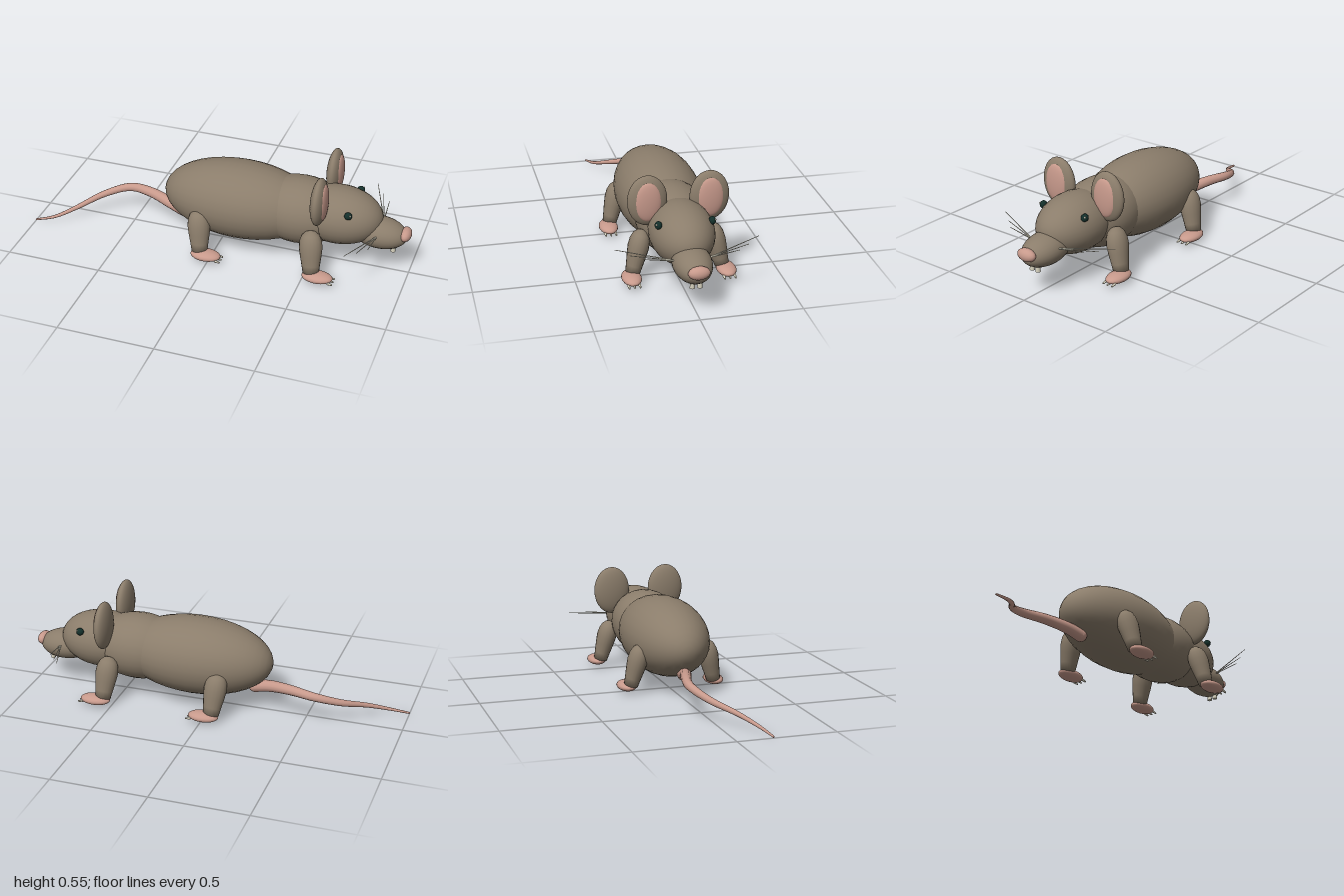
import * as THREE from 'three';

const mat = (name, color, extra = {}) => {
  const m = new THREE.MeshStandardMaterial({ color, ...extra });
  m.name = name;
  return m;
};

export function createModel() {
  const fur = mat('fur', 0x8b7d6b);
  const pink = mat('pinkSkin', 0xc89a8c);
  const dark = mat('eyeDark', 0x14302b);
  const ivory = mat('ivory', 0xd8d3bf);
  const rat = new THREE.Group();
  rat.name = 'rat';

  const add = (name, geometry, material, parent = rat) => {
    const mesh = new THREE.Mesh(geometry, material);
    mesh.name = name;
    parent.add(mesh);
    return mesh;
  };

  // Ellipsoid with its poles along x
  const ellipsoid = (name, material, c, r, parent = rat, seg = 28) => {
    const g = new THREE.SphereGeometry(1, seg, Math.round(seg * 0.7));
    g.rotateZ(-Math.PI / 2);
    g.scale(...r);
    const mesh = add(name, g, material, parent);
    mesh.position.set(...c);
    return mesh;
  };

  // Rod between two points
  const rod = (name, material, a, b, r0, r1, parent = rat) => {
    const from = new THREE.Vector3(...a), to = new THREE.Vector3(...b);
    const dir = to.clone().sub(from);
    const mesh = add(name, new THREE.CylinderGeometry(r1, r0, dir.length(), 8), material, parent);
    mesh.position.copy(from).add(to).multiplyScalar(0.5);
    mesh.quaternion.setFromUnitVectors(new THREE.Vector3(0, 1, 0), dir.normalize());
    return mesh;
  };

  // Body, head and muzzle
  ellipsoid('body', fur, [0.1, 0.262, 0], [0.41, 0.203, 0.215]);
  ellipsoid('chest', fur, [0.42, 0.266, 0], [0.25, 0.175, 0.18]);
  ellipsoid('head', fur, [0.62, 0.278, 0], [0.23, 0.15, 0.158]);
  ellipsoid('snout', fur, [0.835, 0.215, 0], [0.145, 0.08, 0.094]).rotation.z = -0.06;
  ellipsoid('nose', pink, [0.97, 0.228, 0], [0.03, 0.033, 0.053], rat, 18);

  // Leg profile: tapered shin, rounded shoulder
  const legProfile = [
    [0, -0.005], [0.036, 0], [0.041, 0.04], [0.048, 0.09], [0.052, 0.13],
    [0.049, 0.165], [0.039, 0.192], [0.022, 0.209], [0, 0.215],
  ].map(([x, y]) => new THREE.Vector2(x, y));

  for (const s of [1, -1]) {
    const side = s > 0 ? 'left' : 'right';

    // Ears with pink insides
    ellipsoid(side + 'Ear', fur, [0.555, 0.426, s * 0.153], [0.04, 0.128, 0.098]);
    ellipsoid(side + 'InnerEar', pink, [0.578, 0.426, s * 0.153], [0.021, 0.1, 0.066]);

    // Eyes with a small glint
    ellipsoid(side + 'Eye', dark, [0.7, 0.359, s * 0.131], [0.02, 0.02, 0.018], rat, 14);
    ellipsoid(side + 'EyeGlint', ivory, [0.712, 0.367, s * 0.142], [0.005, 0.005, 0.005], rat, 8);

    // Front teeth
    const tooth = add(side + 'Tooth', new THREE.CylinderGeometry(0.011, 0.013, 0.035, 8), ivory);
    tooth.position.set(0.915, 0.143, s * 0.018);

    // Whiskers
    [[0.74, 0.273, 0.35], [0.785, 0.258, 0.288], [0.83, 0.254, 0.232]].forEach(([x, y, z], i) =>
      rod(side + 'Whisker' + (i + 1), ivory, [0.84, 0.235, s * 0.075], [x, y, s * z], 0.003, 0.0015));

    // Legs, feet and claws
    for (const [end, x] of [['Front', 0], ['Hind', -0.595]]) {
      const limb = new THREE.Group();
      limb.name = side + end + 'Limb';
      limb.position.x = x;
      rat.add(limb);
      const leg = add('leg', new THREE.LatheGeometry(legProfile, 18), fur, limb);
      leg.scale.set(1.15, 1.04, 1);
      leg.position.set(0.545, 0.045, s * 0.224);
      leg.rotation.set(-s * 0.24, 0, 0.1);
      ellipsoid('foot', pink, [0.582, 0.036, s * 0.237], [0.08, 0.026, 0.049], limb, 18);
      for (const dz of [-0.027, 0, 0.027]) {
        rod('claw', ivory, [0.642, 0.026, s * 0.237 + dz], [0.668, 0.022, s * 0.237 + dz], 0.007, 0.004, limb);
      }
    }
  }

  // Tail: tube narrowed toward the tip
  const path = new THREE.CatmullRomCurve3([
    [-0.215, 0.125, 0.005], [-0.3, 0.145, -0.012], [-0.42, 0.16, -0.05], [-0.55, 0.153, -0.073],
    [-0.68, 0.115, -0.02], [-0.8, 0.067, 0.085], [-0.9, 0.028, 0.152], [-1, 0.006, 0.182],
  ].map((p) => new THREE.Vector3(...p)));
  const rings = 48, sides = 12;
  const tube = new THREE.TubeGeometry(path, rings, 1, sides);
  const pos = tube.attributes.position, v = new THREE.Vector3();
  for (let i = 0; i <= rings; i++) {
    const t = i / rings, c = path.getPointAt(t);
    const radius = 0.033 * (1 - t) + 0.005 * t;
    for (let j = 0; j <= sides; j++) {
      const k = i * (sides + 1) + j;
      v.fromBufferAttribute(pos, k).sub(c).multiplyScalar(radius).add(c);
      pos.setXYZ(k, v.x, v.y, v.z);
    }
  }
  add('tail', tube, pink);
  ellipsoid('tailRoot', pink, [-0.215, 0.125, 0.005], [0.033, 0.033, 0.033], rat, 14);
  ellipsoid('tailTip', pink, [-0.997, 0.006, 0.181], [0.005, 0.005, 0.005], rat, 8);

  return rat;
}
